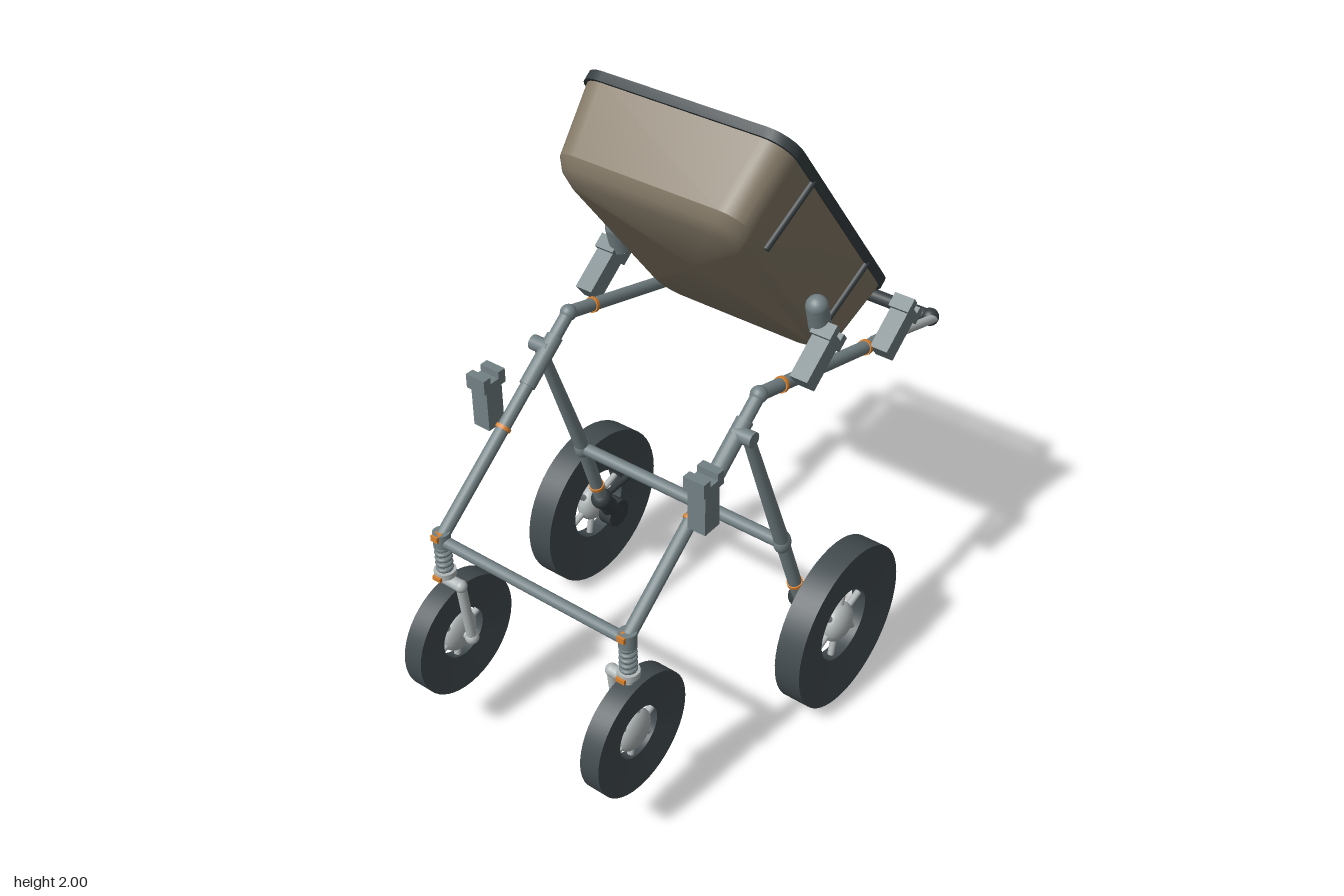
import * as THREE from 'three';
import { toCreasedNormals } from 'three/addons/utils/BufferGeometryUtils.js';

const paint = (name, color) => {
  const m = new THREE.MeshStandardMaterial({ color });
  m.name = name;
  return m;
};
const V = (x, y, z) => new THREE.Vector3(x, y, z);

export function createModel() {
  const steel = paint('steelGrey', 0x728084);
  const light = paint('lightAlloy', 0xb2b8b9);
  const dark = paint('darkGrey', 0x363e41);
  const tyreMat = paint('tyreGrey', 0x434c50);
  const liner = paint('linerGrey', 0x495257);
  const tan = paint('tanShell', 0x857a68);
  const orange = paint('orange', 0xd9822e);

  const model = new THREE.Group();
  model.name = 'cart';

  function add(parent, name, geo, mat, p = [0, 0, 0]) {
    const m = new THREE.Mesh(geo, mat);
    m.name = name;
    m.position.set(...p);
    parent.add(m);
    return m;
  }
  // Round bar between two points, optionally tapered
  function bar(parent, name, a, b, r, mat, rEnd = r) {
    const dir = b.clone().sub(a);
    const m = add(parent, name, new THREE.CylinderGeometry(rEnd, r, dir.length(), 16), mat);
    m.position.copy(a).addScaledVector(dir, 0.5);
    m.quaternion.setFromUnitVectors(V(0, 1, 0), dir.normalize());
    return m;
  }
  // Short sleeve centred at fraction t of a line
  function sleeve(parent, name, a, b, t, len, r, mat) {
    const dir = b.clone().sub(a).normalize();
    const c = a.clone().lerp(b, t);
    return bar(parent, name, c.clone().addScaledVector(dir, -len / 2),
      c.clone().addScaledVector(dir, len / 2), r, mat);
  }
  const ball = (parent, name, p, r, mat) =>
    add(parent, name, new THREE.SphereGeometry(r, 20, 14), mat, p);

  // ---- Tray ----
  const roundRect = (hx, hz, r) => {
    const pts = [];
    for (let q = 0; q < 4; q++) {
      const cx = (q === 0 || q === 3 ? 1 : -1) * (hx - r);
      const cz = (q < 2 ? 1 : -1) * (hz - r);
      for (let i = 0; i <= 6; i++) {
        const a = (q + i / 6) * Math.PI / 2;
        pts.push([cx + r * Math.cos(a), cz + r * Math.sin(a)]);
      }
    }
    return pts;
  };
  // Wall lofted down through rounded rectangles [y, hx, hz, r], closed at the bottom
  function basin(sections, inward) {
    const pos = [], idx = [];
    let n = 0;
    for (const [y, hx, hz, r] of sections) {
      const ring = roundRect(hx, hz, r);
      n = ring.length;
      ring.forEach(([x, z]) => pos.push(x, y, z));
    }
    const tri = (a, b, c) => (inward ? idx.push(a, c, b) : idx.push(a, b, c));
    const last = sections.length - 1;
    for (let s = 0; s < last; s++) for (let i = 0; i < n; i++) {
      const a = s * n + i, b = s * n + (i + 1) % n;
      tri(a, b, a + n);
      tri(b, b + n, a + n);
    }
    pos.push(0, sections[last][0], 0);
    for (let i = 0; i < n; i++) tri(last * n + i, last * n + (i + 1) % n, (last + 1) * n);
    const g = new THREE.BufferGeometry();
    g.setAttribute('position', new THREE.Float32BufferAttribute(pos, 3));
    g.setIndex(idx);
    return toCreasedNormals(g, 0.5);
  }
  const tilt = -0.914;
  const tray = new THREE.Group();
  tray.name = 'tray';
  tray.position.set(0.25, 1.622, 0);
  tray.rotation.z = tilt;
  model.add(tray);
  add(tray, 'trayShell', basin([[-0.01, 0.462, 0.352, 0.08], [-0.235, 0.435, 0.325, 0.08],
    [-0.265, 0.41, 0.312, 0.08], [-0.285, 0.365, 0.285, 0.07]], false), tan);
  add(tray, 'trayLiner', basin([[0, 0.447, 0.337, 0.07], [-0.225, 0.42, 0.315, 0.07],
    [-0.25, 0.395, 0.295, 0.06]], true), liner);
  const outline = (hx, hz, r) => roundRect(hx, hz, r).map(([x, z]) => new THREE.Vector2(x, z));
  const rimShape = new THREE.Shape(outline(0.47, 0.36, 0.085));
  rimShape.holes.push(new THREE.Path(outline(0.446, 0.336, 0.07)));
  const rimGeo = new THREE.ExtrudeGeometry(rimShape, { depth: 0.03, bevelEnabled: false });
  rimGeo.rotateX(Math.PI / 2);
  add(tray, 'trayRim', toCreasedNormals(rimGeo, 0.5), dark, [0, 0.012, 0]);
  for (const s of [1, -1]) {
    for (const x of [-0.255, 0.255])
      bar(tray, 'sideRib', V(x, -0.01, s * 0.353), V(x, -0.235, s * 0.326), 0.011, dark);
    bar(tray, 'floorRib', V(-0.17, -0.245, s * 0.22), V(0.28, -0.245, s * 0.22), 0.012, dark);
    add(tray, 'trayClip', new THREE.BoxGeometry(0.06, 0.026, 0.024), orange, [0.045, 0.004, s * 0.331]);
    add(tray, 'floorLatch', new THREE.BoxGeometry(0.1, 0.05, 0.035), steel, [0.13, -0.225, s * 0.295]);
  }

  // ---- Clamp with a forked top; base at the group's origin ----
  function clamp(parent, x, y, z, angle) {
    const g = new THREE.Group();
    g.name = 'clamp';
    g.position.set(x, y, z);
    g.rotation.z = angle;
    parent.add(g);
    add(g, 'clampStem', new THREE.BoxGeometry(0.065, 0.15, 0.06), steel, [0, 0.075, 0]);
    add(g, 'clampHead', new THREE.BoxGeometry(0.09, 0.025, 0.07), steel, [0, 0.15, 0]);
    for (const s of [1, -1])
      add(g, 'clampProng', new THREE.BoxGeometry(0.028, 0.025, 0.07), steel, [s * 0.031, 0.172, 0]);
  }

  // ---- Wheel, axle along z ----
  function wheel(parent, name, p, R, hole, half, spokes) {
    const g = new THREE.Group();
    g.name = name;
    g.position.set(...p);
    parent.add(g);
    const d = half * 0.55;
    const profile = [[hole, -d], [R, -half], [R, half], [hole, d], [hole, -d]]
      .map(([r, h]) => new THREE.Vector2(r, h));
    const tyre = new THREE.LatheGeometry(profile, 48);
    tyre.rotateX(Math.PI / 2);
    add(g, 'tyre', toCreasedNormals(tyre, 0.7), tyreMat);
    ball(g, 'hub', [0, 0, 0], 0.068, light).scale.z = half * 0.95 / 0.068;
    for (let i = 0; i < spokes; i++) {
      const a = (i + 0.3) / spokes * Math.PI * 2, c = Math.cos(a), s = Math.sin(a);
      bar(g, 'spoke', V(c * 0.05, s * 0.05, 0), V(c * (hole + 0.01), s * (hole + 0.01), 0), 0.011, light);
    }
  }

  // ---- Everything that repeats on both sides ----
  for (const s of [1, -1]) {
    const side = new THREE.Group();
    side.name = s > 0 ? 'frontSide' : 'backSide';
    model.add(side);
    const z = s * 0.348;

    // Rails and sliding handle tube
    const low = V(-0.735, 0.77, z), peak = V(-0.135, 1.24, z);
    const end = V(0.6, 1.05, z), grip = V(0.875, 0.965, s * 0.34);
    bar(side, 'lowerRail', low, peak, 0.021, steel);
    sleeve(side, 'railSleeve', low, peak, 0.78, 0.17, 0.026, steel);
    ball(side, 'railPeak', peak.toArray(), 0.026, steel);
    bar(side, 'upperRail', peak, end, 0.021, steel);
    sleeve(side, 'railEndSleeve', peak, end, 0.92, 0.12, 0.024, steel);
    bar(side, 'slidingTube', end, grip, 0.015, light);
    ball(side, 'handleJoint', [0.875, 0.965, s * 0.325], 0.03, dark);
    sleeve(side, 'railRing', low, peak, 0.48, 0.012, 0.025, orange);
    sleeve(side, 'railRing', peak, end, 0.15, 0.012, 0.025, orange);
    sleeve(side, 'railRing', peak, end, 0.77, 0.012, 0.025, orange);

    // Clamps and knuckle
    clamp(side, -0.455, 1.0, s * 0.395, 0);
    clamp(side, 0.01, 1.215, s * 0.395, tilt);
    clamp(side, 0.45, 1.08, s * 0.395, tilt);
    const ka = V(0.118, 1.41, s * 0.365), kb = V(0.14, 1.33, s * 0.365);
    bar(side, 'knuckle', kb, ka, 0.034, steel);
    ball(side, 'knuckleCap', ka.toArray(), 0.034, steel);

    // Small sprung wheel
    const sx = -0.735;
    add(side, 'strutCap', new THREE.CylinderGeometry(0.027, 0.027, 0.05, 16), steel, [sx, 0.765, z]);
    bar(side, 'strutRod', V(sx, 0.76, z), V(sx, 0.6, z), 0.015, light);
    for (let i = 0; i < 5; i++) {
      const coil = add(side, 'springCoil', new THREE.TorusGeometry(0.02, 0.007, 8, 20), steel,
        [sx, 0.735 - i * 0.02, z]);
      coil.rotation.x = Math.PI / 2;
    }
    add(side, 'strutCollar', new THREE.CylinderGeometry(0.034, 0.034, 0.02, 16), light, [sx, 0.638, z]);
    add(side, 'strutTab', new THREE.BoxGeometry(0.03, 0.014, 0.03), orange, [sx - 0.025, 0.632, z]);
    add(side, 'strutTab', new THREE.BoxGeometry(0.025, 0.02, 0.025), orange, [sx - 0.02, 0.78, z]);
    bar(side, 'forkTop', V(sx, 0.61, s * 0.35), V(sx, 0.61, s * 0.288), 0.019, light);
    ball(side, 'forkElbow', [sx, 0.61, s * 0.288], 0.02, light);
    bar(side, 'forkArm', V(sx, 0.61, s * 0.288), V(-0.71, 0.385, s * 0.288), 0.016, light);
    ball(side, 'forkFoot', [-0.71, 0.385, s * 0.288], 0.022, light);
    bar(side, 'smallAxle', V(-0.71, 0.385, s * 0.288), V(-0.71, 0.385, s * 0.34), 0.014, light);
    wheel(side, 'smallWheel', [-0.71, 0.385, s * 0.341], 0.2, 0.085, 0.033, 6);

    // Leg and large wheel
    const hip = V(-0.235, 1.165, s * 0.385), knee = V(-0.05, 0.665, s * 0.39);
    const ankle = V(0.045, 0.385, s * 0.4), axle = V(0.117, 0.28, s * 0.41);
    bar(side, 'hipPin', V(-0.235, 1.165, s * 0.34), V(-0.235, 1.165, s * 0.405), 0.024, steel);
    bar(side, 'leg', hip, knee, 0.018, steel, 0.024);
    ball(side, 'knee', knee.toArray(), 0.03, steel).scale.set(1, 1.3, 0.9);
    bar(side, 'lowerLeg', knee, ankle, 0.022, steel);
    sleeve(side, 'legRing', knee, ankle, 0.74, 0.012, 0.026, orange);
    ball(side, 'ankle', ankle.toArray(), 0.036, dark);
    bar(side, 'ankleArm', ankle, axle, 0.026, dark, 0.034);
    bar(side, 'brakeLink', ankle, V(0.19, 0.385, s * 0.405), 0.012, dark);
    bar(side, 'motor', V(0.117, 0.28, s * 0.385), V(0.117, 0.28, s * 0.435), 0.05, dark);
    bar(side, 'largeAxle', V(0.117, 0.28, s * 0.4), V(0.117, 0.28, s * 0.5), 0.015, steel);
    wheel(side, 'largeWheel', [0.117, 0.28, s * 0.5], 0.28, 0.125, 0.045, 6);
  }

  // ---- Cross bars joining the sides ----
  bar(model, 'handleBar', V(0.875, 0.965, -0.325), V(0.875, 0.965, 0.325), 0.023, dark);
  bar(model, 'strutCrossBar', V(-0.735, 0.757, -0.345), V(-0.735, 0.757, 0.345), 0.018, steel);
  bar(model, 'legCrossBar', V(-0.05, 0.662, -0.39), V(-0.05, 0.662, 0.39), 0.021, steel);

  return model;
}
